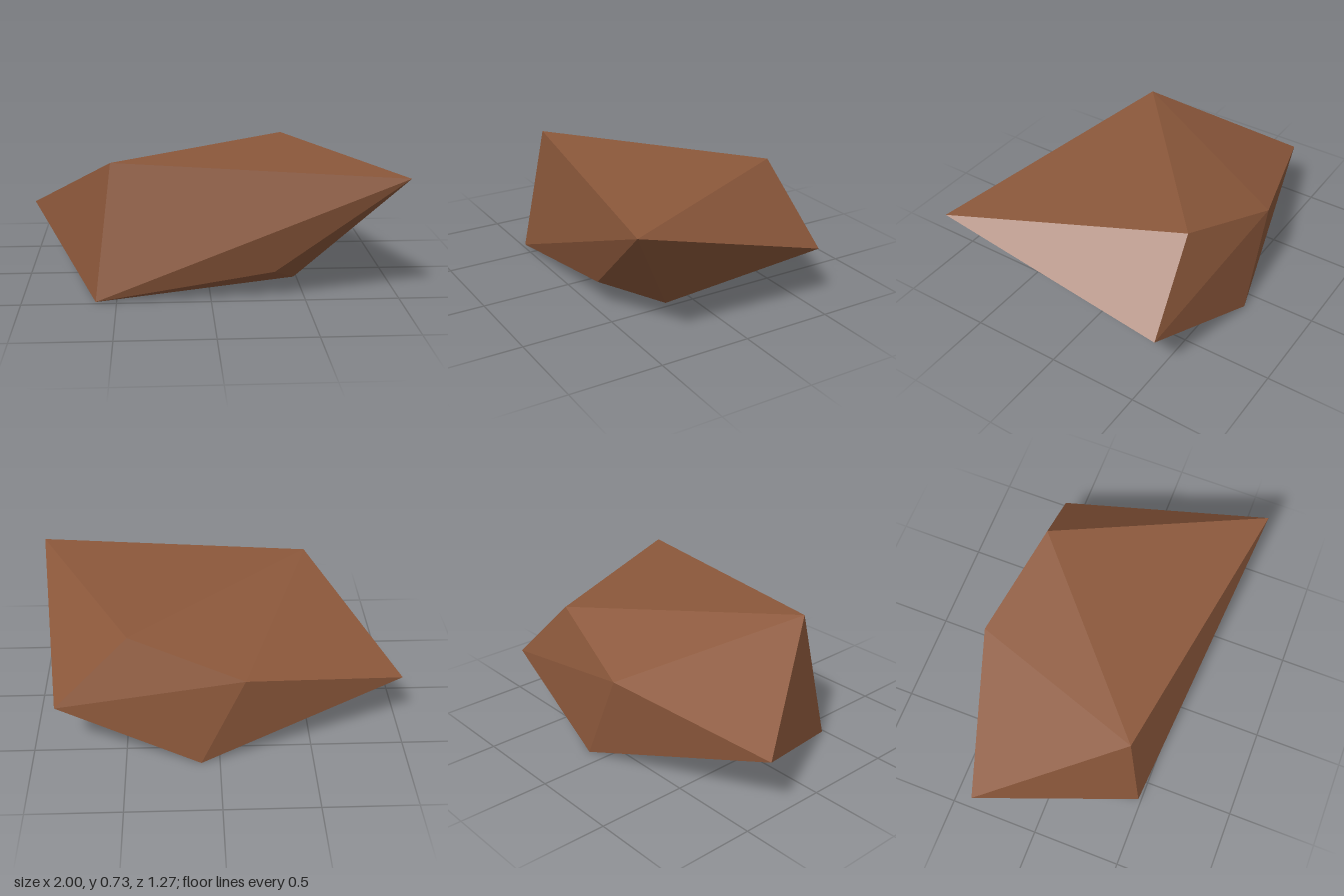
import * as THREE from 'three';
import { ConvexGeometry } from 'three/addons/geometries/ConvexGeometry.js';

// A single faceted rock: the convex hull of its ten corners.
export function createModel() {
  const group = new THREE.Group();
  group.name = 'rock';

  const brownStone = new THREE.MeshStandardMaterial({ color: 0x8c583b });
  brownStone.name = 'brownStone';
  brownStone.flatShading = true;

  const corners = [
    // upper rim
    [-0.52, 0.73, 0.38], [1.0, 0.69, 0.635], [0.47, 0.707, -0.485], [-0.13, 0.52, -0.625],
    // side points
    [-1.0, 0.33, -0.35], [0.865, 0.315, -0.545], [0.335, 0.157, 0.49],
    // base
    [-0.61, 0.003, 0.483], [0.48, 0.01, 0.16], [0.1, 0, -0.636],
  ].map((c) => new THREE.Vector3(...c));

  const boulder = new THREE.Mesh(new ConvexGeometry(corners), brownStone);
  boulder.name = 'boulder';
  group.add(boulder);
  return group;
}
